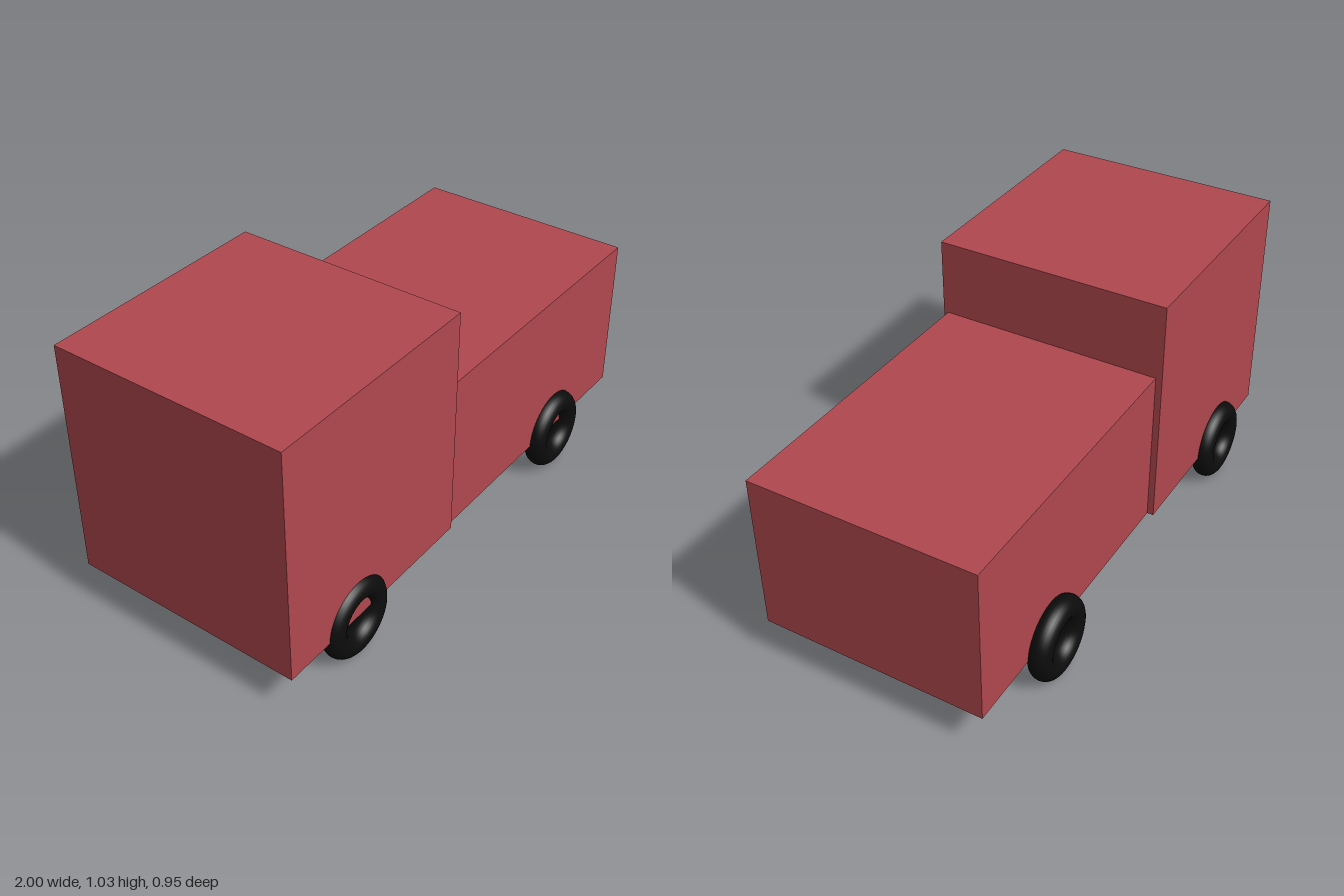
import * as THREE from 'three';

const paint = new THREE.MeshStandardMaterial({ color: 0xb0484f });
const rubber = new THREE.MeshStandardMaterial({ color: 0x0c0c0c });

// Box given by its [min, max] extent on each axis
function block(name, [x0, x1], [y0, y1], [z0, z1]) {
  const mesh = new THREE.Mesh(new THREE.BoxGeometry(x1 - x0, y1 - y0, z1 - z0), paint);
  mesh.position.set((x0 + x1) / 2, (y0 + y1) / 2, (z0 + z1) / 2);
  mesh.name = name;
  return mesh;
}

export function createModel() {
  const truck = new THREE.Group();
  truck.name = 'truck';

  // Body: tall cab and the lower, slightly narrower bed
  truck.add(block('cab', [-1, -0.126], [0.153, 1.03], [-0.43, 0.447]));
  truck.add(block('bed', [-0.126, 1], [0.153, 0.746], [-0.406, 0.43]));

  // Four open ring tyres, half sunk into the body sides
  const tyre = new THREE.TorusGeometry(0.109, 0.0425, 24, 64);
  for (const [end, x] of [['cab', -0.663], ['bed', 0.583]]) {
    for (const [side, z] of [['Near', 0.431], ['Far', -0.431]]) {
      const wheel = new THREE.Mesh(tyre, rubber);
      wheel.position.set(x, 0.1515, z);
      wheel.name = `${end}Wheel${side}`;
      truck.add(wheel);
    }
  }
  return truck;
}
